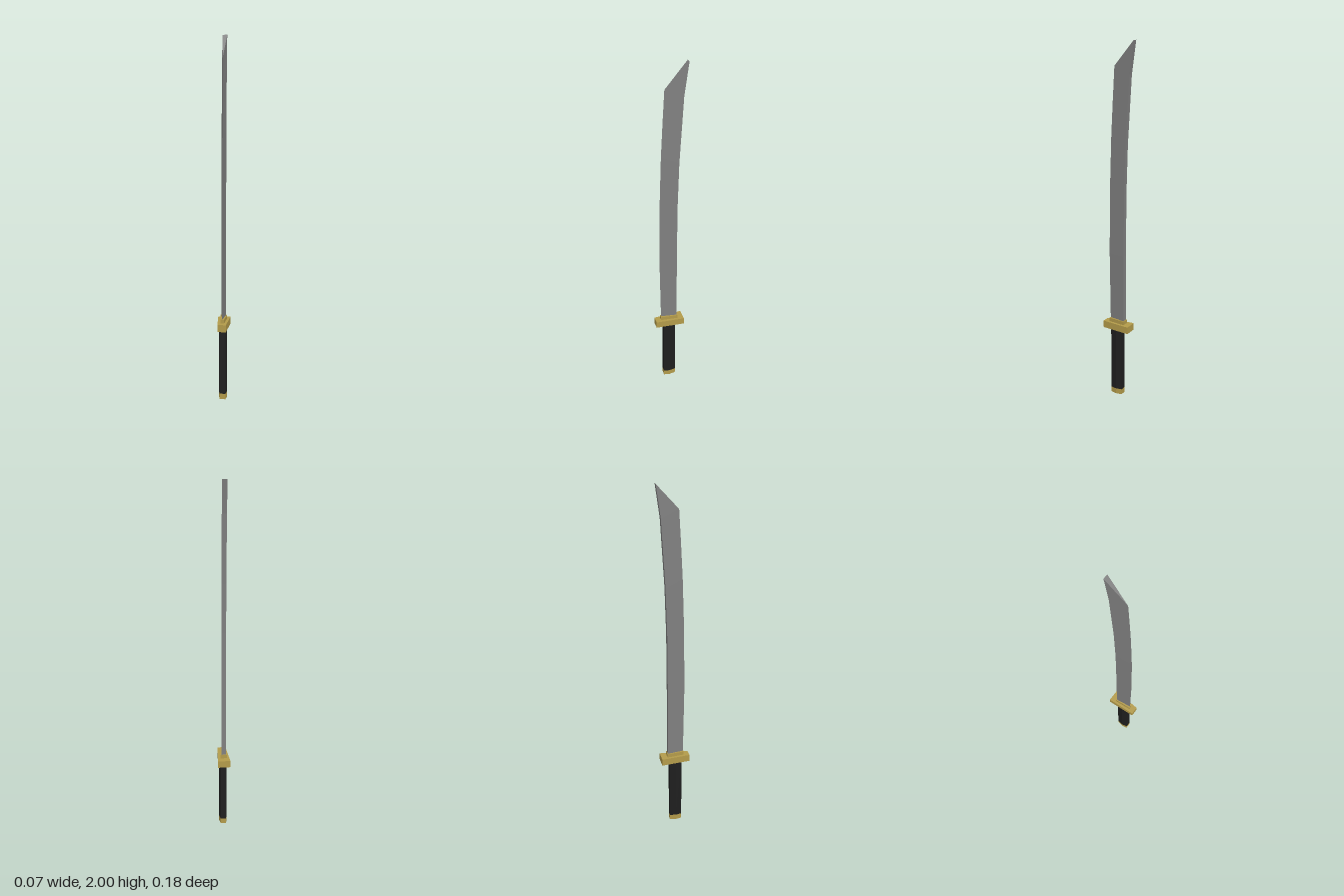
import * as THREE from 'three';

// Closed solid through matching rings of [x, y, z], bottom to top,
// each ring counter-clockwise seen from above.
function loft(rings) {
  const n = rings[0].length, index = [];
  for (let r = 0; r < rings.length - 1; r++) {
    for (let i = 0; i < n; i++) {
      const a = r * n + i, b = r * n + (i + 1) % n;
      index.push(a, b, b + n, a, b + n, a + n);
    }
  }
  const top = (rings.length - 1) * n;
  for (let i = 1; i < n - 1; i++) {
    index.push(0, i + 1, i);
    index.push(top, top + i, top + i + 1);
  }
  const g = new THREE.BufferGeometry();
  g.setAttribute('position', new THREE.Float32BufferAttribute(rings.flat(2), 3));
  g.setIndex(index);
  const flat = g.toNonIndexed();
  flat.computeVertexNormals();
  return flat;
}

// Upright prism, mirrored in x; half is [x, z] from front to back on the +x side.
function prism(half, y0, y1) {
  const outline = [...half, ...half.map(([x, z]) => [-x, z]).reverse()];
  return loft([y0, y1].map(y => outline.map(([x, z]) => [x, y, z])));
}

export function createModel() {
  const steel = new THREE.MeshStandardMaterial({ color: 0x808080 });
  const brass = new THREE.MeshStandardMaterial({ color: 0xb39b4a });
  const wrap = new THREE.MeshStandardMaterial({ color: 0x1f1f1f });
  [[steel, 'steel'], [brass, 'brass'], [wrap, 'blackGrip']].forEach(([m, name]) => { m.name = name; });

  const model = new THREE.Group();
  model.name = 'sword';
  const add = (name, geometry, material) => {
    const mesh = new THREE.Mesh(geometry, material);
    mesh.name = name;
    model.add(mesh);
  };

  // Six-sided grip with brass end cap
  const gripSection = [[0.016, 0.043], [0.022, 0.009], [0.016, -0.026]];
  add('pommel', prism(gripSection, 0, 0.032), brass);
  add('grip', prism(gripSection, 0.032, 0.405), wrap);

  // Tapered guard and blade collar
  add('guard', prism([[0.023, 0.089], [0.035, -0.075]], 0.405, 0.445), brass);
  add('collar', prism([[0.01, 0.057], [0.019, -0.04]], 0.445, 0.466), brass);

  // Curved wedge blade: edge y, edge z, spine y, spine z
  const blade = [
    [0.445, 0.055, 0.445, -0.036],
    [0.85, 0.061, 0.85, -0.036],
    [1.2, 0.058, 1.2, -0.038],
    [1.51, 0.048, 1.47, -0.046],
    [1.7, 0.038, 1.83, -0.068],
    [1.87, 0.028, 2.0, -0.092],
  ];
  add('blade', loft(blade.map(([ey, ez, sy, sz]) => [
    [0, ey, ez], [0.013, sy, sz], [-0.013, sy, sz],
  ])), steel);

  return model;
}
